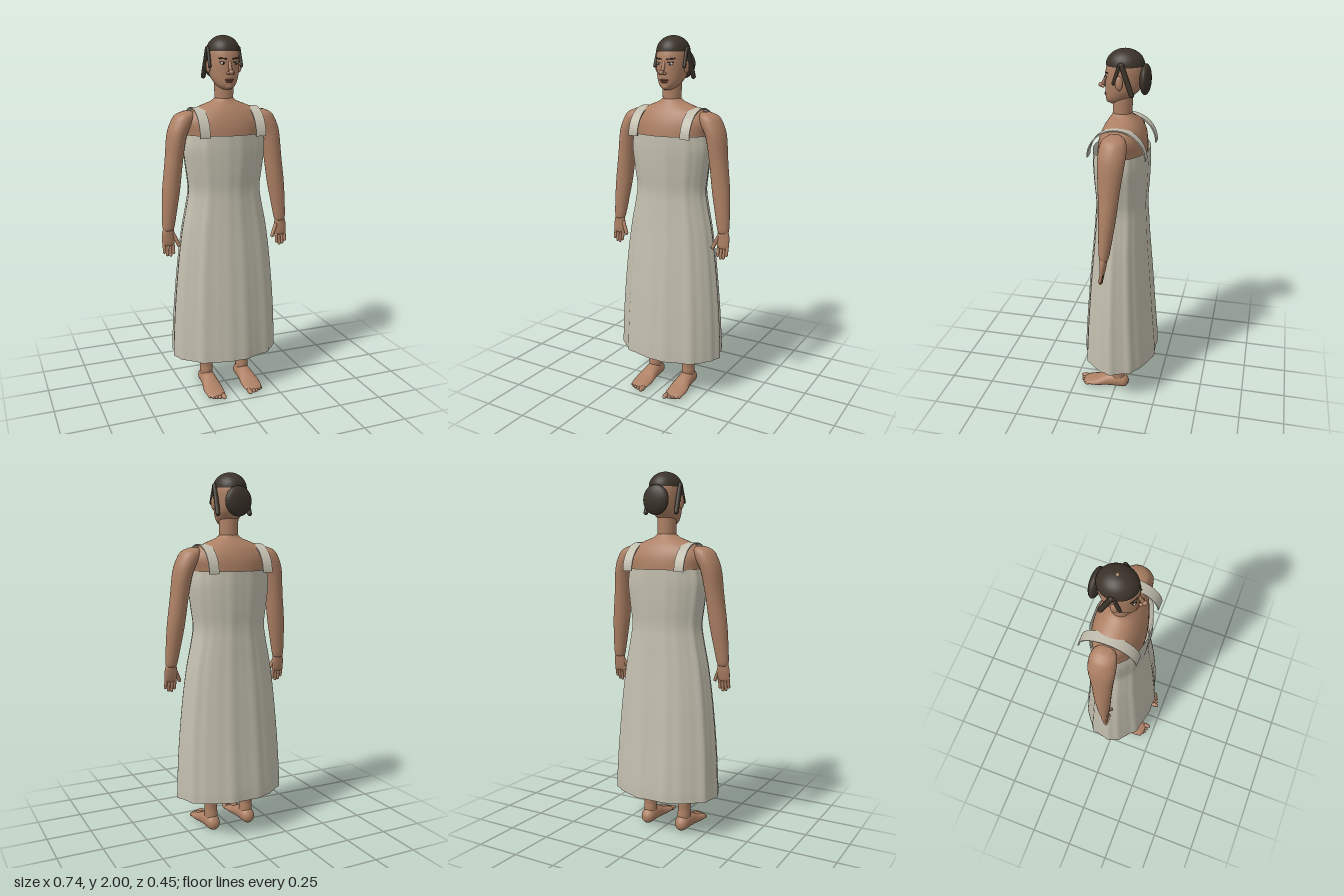
import * as THREE from 'three';

const mat = (name, color, side = THREE.FrontSide) => {
  const m = new THREE.MeshStandardMaterial({ color, side });
  m.name = name;
  return m;
};

// Smooth skin over elliptical rings [y, centreX, centreZ, radiusX, radiusZ], listed from top to bottom
function loft(rows, { sides = 28, steps = 4, capped = true, rule = () => 1 } = {}) {
  const curve = pts => new THREE.CatmullRomCurve3(pts, false, 'catmullrom', 0.5);
  const spine = curve(rows.map(r => new THREE.Vector3(r[1], r[0], r[2])));
  const radii = curve(rows.map(r => new THREE.Vector3(r[3], r[4], 0)));
  const n = (rows.length - 1) * steps, pos = [], idx = [];
  for (let i = 0; i <= n; i++) {
    const c = spine.getPoint(i / n), r = radii.getPoint(i / n);
    for (let j = 0; j < sides; j++) {
      const a = j / sides * Math.PI * 2, k = rule(a, i / n);
      pos.push(c.x + Math.cos(a) * r.x * k, c.y, c.z + Math.sin(a) * r.y * k);
      if (i < n) {
        const p = i * sides + j, q = i * sides + (j + 1) % sides;
        idx.push(p, q, p + sides, q, q + sides, p + sides);
      }
    }
  }
  if (capped) {
    const top = pos.length / 3, last = n * sides;
    const a = spine.getPoint(0), b = spine.getPoint(1);
    pos.push(a.x, a.y, a.z, b.x, b.y, b.z);
    for (let j = 0; j < sides; j++) {
      const k = (j + 1) % sides;
      idx.push(top, k, j, top + 1, last + j, last + k);
    }
  }
  const g = new THREE.BufferGeometry();
  g.setAttribute('position', new THREE.Float32BufferAttribute(pos, 3));
  g.setIndex(idx);
  g.computeVertexNormals();
  return g;
}

export function createModel() {
  const model = new THREE.Group();
  model.name = 'standingFigure';
  const skin = mat('skin', 0xad8064);
  const cloth = mat('cloth', 0xc2beae, THREE.DoubleSide);
  const hair = mat('hair', 0x3b332a);
  const lip = mat('lip', 0x84513f);
  const white = mat('eyeWhite', 0xd8d2c8);
  const dark = mat('iris', 0x1e1814);

  const add = (name, geo, material, parent = model) => {
    const m = new THREE.Mesh(geo, material);
    m.name = name;
    parent.add(m);
    return m;
  };
  const ball = (name, material, p, r, parent) => {
    const g = new THREE.SphereGeometry(1, 24, 16);
    g.scale(...r);
    g.translate(...p);
    return add(name, g, material, parent);
  };
  // Rounded bar between two points
  const bar = (name, material, a, b, r, parent) => {
    const A = new THREE.Vector3(...a), B = new THREE.Vector3(...b), d = B.clone().sub(A);
    const g = new THREE.CapsuleGeometry(r, d.length(), 5, 12);
    const m = add(name, g, material, parent);
    m.quaternion.setFromUnitVectors(new THREE.Vector3(0, 1, 0), d.normalize());
    m.position.copy(A.add(B).multiplyScalar(0.5));
    return m;
  };
  const group = name => {
    const g = new THREE.Group();
    g.name = name;
    model.add(g);
    return g;
  };

  // Torso and neck
  add('torso', loft([
    [1.672, 0, -0.013, 0.052, 0.05], [1.655, 0, -0.014, 0.075, 0.06], [1.63, 0, -0.016, 0.14, 0.08],
    [1.6, 0, -0.018, 0.2, 0.1], [1.55, 0, -0.018, 0.23, 0.12], [1.48, 0, -0.016, 0.215, 0.13],
    [1.35, 0, -0.014, 0.205, 0.13], [1.2, 0, -0.014, 0.18, 0.115], [1.02, 0, -0.014, 0.195, 0.12],
    [0.88, 0, -0.014, 0.17, 0.11], [0.82, 0, -0.014, 0.1, 0.07]], { sides: 40 }), skin);
  const neck = add('neck', new THREE.CylinderGeometry(0.053, 0.05, 0.11, 28), skin);
  neck.position.set(0, 1.705, -0.013);

  // Dress: open tube with soft vertical folds growing towards the hem
  add('dress', loft([
    [1.485, 0, -0.01, 0.222, 0.15], [1.4, 0, -0.01, 0.232, 0.15], [1.28, 0, -0.011, 0.218, 0.145],
    [1.18, 0, -0.012, 0.207, 0.138], [1.08, 0, -0.012, 0.222, 0.143], [0.95, 0, -0.011, 0.248, 0.152],
    [0.75, 0, -0.01, 0.274, 0.17], [0.5, 0, -0.01, 0.296, 0.19], [0.3, 0, -0.012, 0.306, 0.205],
    [0.22, 0, -0.012, 0.308, 0.208]], {
    sides: 112, capped: false,
    rule: (a, t) => 1 + (0.008 + 0.008 * t) * (Math.sin(9 * a + 0.7) + 0.8 * Math.sin(14 * a + 2) + 0.5 * Math.sin(23 * a + 1)),
  }), cloth);

  // Shoulder straps: thin arched bands
  const arch = (r, h) => Array.from({ length: 33 }, (_, i) => {
    const a = i / 32 * Math.PI;
    return new THREE.Vector2(-0.017 + r * Math.cos(a), 1.475 + h * Math.sin(a));
  });
  const band = new THREE.Shape([...arch(0.154, 0.152), ...arch(0.148, 0.146).reverse()]);

  for (const s of [1, -1]) {
    const side = s > 0 ? 'left' : 'right';
    const mir = rows => rows.map(([y, x, ...r]) => [y, x * s, ...r]);

    const strap = new THREE.ExtrudeGeometry(band, { depth: 0.056, bevelEnabled: false });
    strap.rotateY(-Math.PI / 2);
    strap.translate(s * 0.158 + 0.028, 0, 0);
    add(side + 'Strap', strap, cloth);

    // Arm
    add(side + 'Arm', loft(mir([
      [1.608, 0.205, -0.015, 0.025, 0.03], [1.588, 0.222, -0.015, 0.052, 0.058], [1.55, 0.24, -0.015, 0.06, 0.07],
      [1.48, 0.27, -0.012, 0.053, 0.07], [1.35, 0.289, -0.006, 0.049, 0.057], [1.2, 0.308, 0, 0.049, 0.046],
      [1.1, 0.32, 0.006, 0.043, 0.038], [1.0, 0.331, 0.012, 0.035, 0.028], [0.97, 0.333, 0.014, 0.028, 0.022]])), skin);

    // Hand with four fingers and a thumb
    const hand = group(side + 'Hand');
    add('palm', loft(mir([[0.99, 0.333, 0.014, 0.027, 0.02], [0.95, 0.335, 0.016, 0.035, 0.018],
      [0.905, 0.336, 0.02, 0.035, 0.014], [0.885, 0.336, 0.022, 0.03, 0.009]])), skin, hand);
    [[0.362, 0.852], [0.345, 0.836], [0.327, 0.832], [0.31, 0.845]].forEach(([x, y]) =>
      bar('finger', skin, [s * x, 0.9, 0.02], [s * x, y, 0.03], 0.0085, hand));
    bar('thumb', skin, [s * 0.307, 0.945, 0.02], [s * 0.28, 0.885, 0.032], 0.0105, hand);

    // Leg
    add(side + 'Leg', loft(mir([
      [0.88, 0.095, -0.014, 0.08, 0.085], [0.5, 0.108, -0.02, 0.06, 0.064], [0.32, 0.112, -0.016, 0.052, 0.054],
      [0.22, 0.112, -0.012, 0.045, 0.045], [0.13, 0.112, -0.01, 0.036, 0.038], [0.1, 0.112, -0.01, 0.037, 0.04],
      [0.05, 0.112, -0.015, 0.035, 0.04]])), skin);

    // Foot: lofted from toe to heel, then laid along z
    const foot = group(side + 'Foot');
    const sole = loft(mir([
      [0.195, 0.112, -0.015, 0.03, 0.01], [0.17, 0.114, -0.019, 0.05, 0.016], [0.11, 0.115, -0.028, 0.055, 0.026],
      [0.05, 0.113, -0.042, 0.046, 0.04], [-0.01, 0.112, -0.048, 0.042, 0.046], [-0.055, 0.112, -0.042, 0.036, 0.038],
      [-0.075, 0.112, -0.038, 0.014, 0.015]]));
    sole.rotateX(Math.PI / 2);
    add('foot', sole, skin, foot);
    [[0.08, 0.195, 0.014, 0.03], [0.104, 0.192, 0.01, 0.024], [0.123, 0.188, 0.0095, 0.022],
      [0.141, 0.18, 0.009, 0.02], [0.157, 0.17, 0.0085, 0.018]].forEach(([x, z, r, l]) =>
      ball('toe', skin, [s * x, 0.015, z], [r, r, l], foot));
  }

  // Head
  const head = group('head');
  add('skull', loft([
    [1.985, 0, -0.03, 0.02, 0.02], [1.965, 0, -0.03, 0.06, 0.065], [1.92, 0, -0.027, 0.083, 0.094],
    [1.86, 0, -0.023, 0.084, 0.1], [1.8, 0, -0.015, 0.078, 0.091], [1.76, 0, 0.004, 0.063, 0.071],
    [1.733, 0, 0.019, 0.043, 0.051], [1.718, 0, 0.025, 0.02, 0.026]], { sides: 36 }), skin, head);
  bar('noseBridge', skin, [0, 1.86, 0.071], [0, 1.815, 0.092], 0.009, head);
  ball('noseTip', skin, [0, 1.81, 0.1], [0.013, 0.012, 0.015], head);
  ball('chin', skin, [0, 1.738, 0.056], [0.024, 0.018, 0.018], head);
  ball('upperLip', lip, [0, 1.771, 0.073], [0.026, 0.005, 0.009], head);
  ball('lowerLip', lip, [0, 1.762, 0.072], [0.021, 0.006, 0.009], head);
  for (const s of [1, -1]) {
    ball('nostril', skin, [s * 0.013, 1.806, 0.088], [0.009, 0.008, 0.01], head);
    ball('eye', white, [s * 0.035, 1.855, 0.066], [0.015, 0.007, 0.007], head);
    ball('iris', dark, [s * 0.035, 1.855, 0.071], [0.006, 0.006, 0.004], head);
    bar('eyelid', hair, [s * 0.021, 1.861, 0.072], [s * 0.05, 1.861, 0.06], 0.0025, head);
    bar('brow', hair, [s * 0.018, 1.878, 0.073], [s * 0.055, 1.882, 0.055], 0.0035, head);
    ball('ear', skin, [s * 0.088, 1.84, -0.012], [0.012, 0.036, 0.02], head);
  }

  // Hair: cap, crown spot, back bun and swept side locks
  const hairdo = group('hairdo');
  const cap = new THREE.SphereGeometry(1, 36, 14, 0, Math.PI * 2, 0, Math.PI / 2);
  cap.scale(0.088, 0.082, 0.1);
  cap.translate(0, 1.917, -0.027);
  add('hairCap', cap, hair, hairdo);
  ball('crownSpot', skin, [0, 1.997, -0.028], [0.008, 0.003, 0.009], hairdo);
  ball('bun', hair, [0, 1.848, -0.131], [0.076, 0.079, 0.029], hairdo);
  for (const s of [1, -1]) {
    bar('frontLock', hair, [s * 0.087, 1.93, -0.015], [s * 0.09, 1.84, 0.016], 0.009, hairdo);
    bar('backLock', hair, [s * 0.088, 1.93, -0.025], [s * 0.094, 1.785, -0.078], 0.013, hairdo);
  }
  return model;
}
